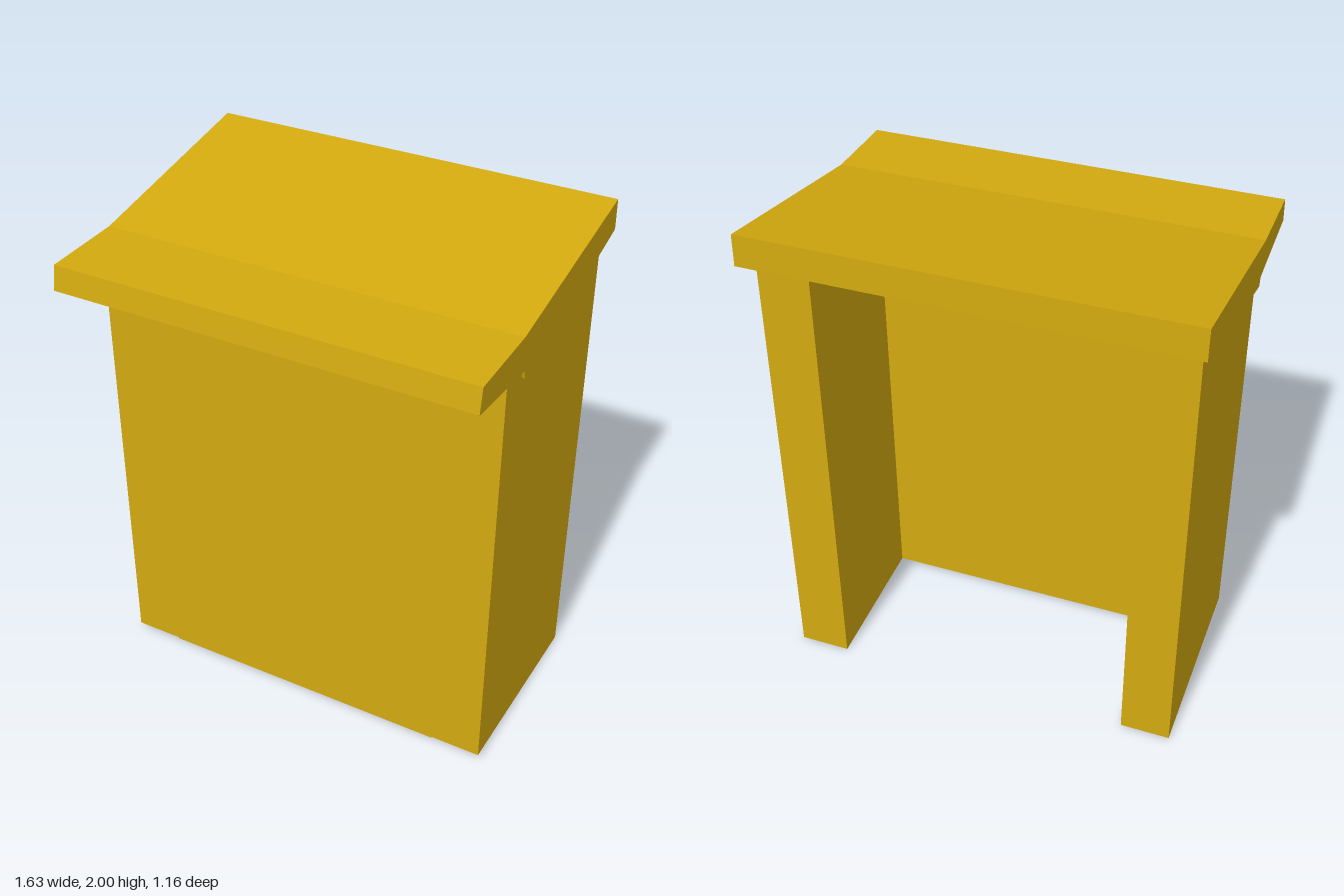
import * as THREE from 'three';

// Extrude a side profile of [z, y] points across x0..x1
function profileMesh(name, points, x0, x1, material) {
  const shape = new THREE.Shape(points.map(([z, y]) => new THREE.Vector2(-z, y)));
  const geometry = new THREE.ExtrudeGeometry(shape, { depth: x1 - x0, bevelEnabled: false });
  geometry.rotateY(Math.PI / 2).translate(x0, 0, 0);
  const mesh = new THREE.Mesh(geometry, material);
  mesh.name = name;
  return mesh;
}

export function createModel() {
  const group = new THREE.Group();
  group.name = 'lectern';
  const wood = new THREE.MeshStandardMaterial({ color: 0xd2a90f });
  wood.name = 'golden wood';

  // Side walls, with a slightly sloping foot and a top tucked into the desk
  const side = [[0.335, 0.025], [-0.465, 0], [-0.465, 1.87], [0.21, 1.71], [0.335, 1.75]];
  group.add(profileMesh('leftSide', side, 0.605, 0.805, wood));
  group.add(profileMesh('rightSide', side, -0.78, -0.585, wood));

  // Front panel joining the sides; the back stays open
  const front = [[0.335, 0.02], [0.105, 0.018], [0.105, 1.73], [0.21, 1.72], [0.335, 1.75]];
  group.add(profileMesh('frontPanel', front, -0.585, 0.605, wood));

  // Slanted desk top with a flatter front lip and a notch underneath
  const desk = [
    [0.58, 1.755], [0.22, 1.72], [0.21, 1.685], [-0.58, 1.88],
    [-0.575, 2], [0.24, 1.857], [0.565, 1.85],
  ];
  group.add(profileMesh('deskTop', desk, -0.817, 0.817, wood));

  return group;
}
